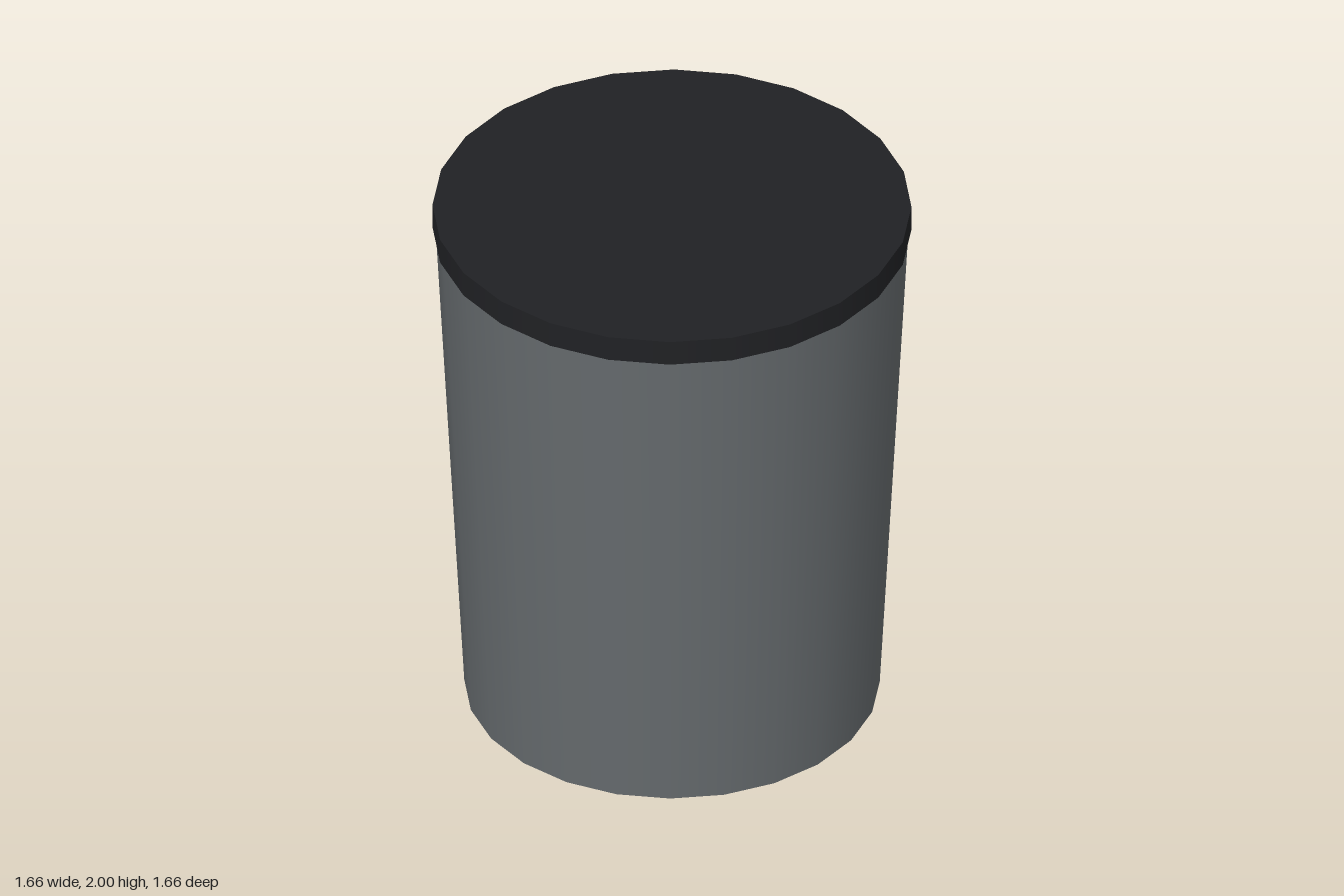
import * as THREE from 'three';

const SIDES = 24;

// Smooth-sided capped tapered drum standing on the given base height
function drum(name, topRadius, bottomRadius, base, height, color) {
  const geometry = new THREE.CylinderGeometry(topRadius, bottomRadius, height, SIDES);
  const mesh = new THREE.Mesh(geometry, new THREE.MeshStandardMaterial({ color }));
  mesh.name = name;
  mesh.position.y = base + height / 2;
  return mesh;
}

export function createModel() {
  const group = new THREE.Group();
  group.name = 'liddedTub';
  // Tapered body, wider at the top
  group.add(drum('body', 0.82, 0.72, 0, 1.91, 0x666b6e));
  // Flat lid slightly overhanging the body
  group.add(drum('lid', 0.83, 0.83, 1.905, 0.095, 0x202124));
  return group;
}
